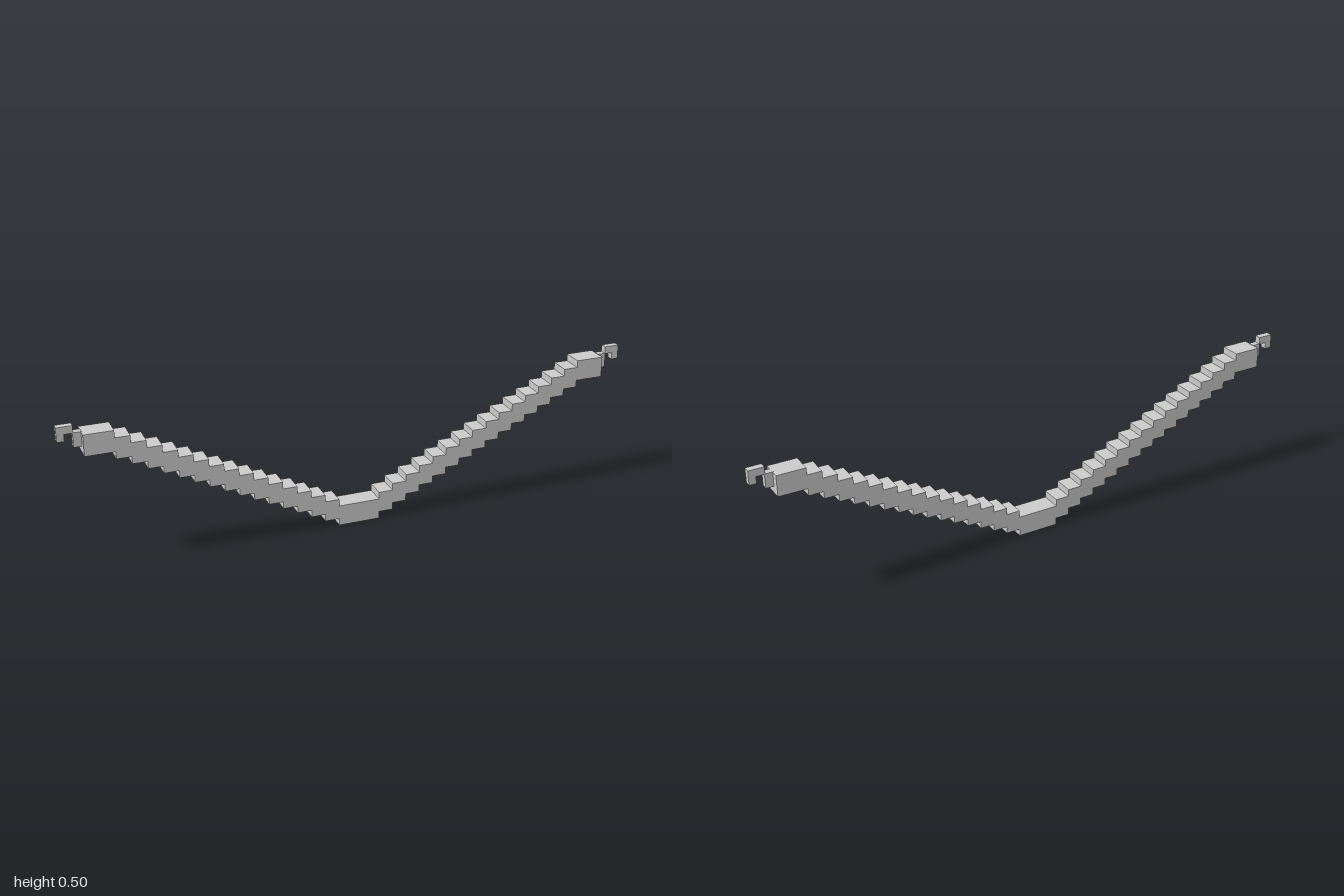
import * as THREE from 'three';

const RISE = 0.0252, RUN = 0.05, THICK = 0.0735, DEPTH = 0.0735;
const STEPS = 16, CENTRE = 0.0735, END = 0.9225;

export function createModel() {
  const group = new THREE.Group();
  const material = new THREE.MeshStandardMaterial({ color: 0xcccccc, flatShading: true });

  // Stepped V-shaped band: underside of one arm, mirrored and thickened
  const arm = [];
  for (let k = 0; k <= STEPS; k++) {
    const start = k ? CENTRE + RUN * (k - 1) : 0;
    const end = k < STEPS ? CENTRE + RUN * k : END;
    if (k) arm.push([start, RISE * k]);
    arm.push([end, RISE * k]);
  }
  const mirrored = arm.map(([x, y]) => [-x, y]).reverse();
  const under = [...mirrored, ...arm];
  const over = under.map(([x, y]) => [x, y + THICK]).reverse();
  const outline = new THREE.Shape([...under, ...over].map(([x, y]) => new THREE.Vector2(x, y)));
  const bandGeometry = new THREE.ExtrudeGeometry(outline, { depth: DEPTH, bevelEnabled: false });
  bandGeometry.translate(0, 0, -DEPTH / 2);
  const band = new THREE.Mesh(bandGeometry, material);
  band.name = 'steppedBand';
  group.add(band);

  // Small hook at each end: inner post, top bar and hanging tip
  const hookParts = [
    ['hookPost', 0.92, 0.949, 0.428, 0.4785],
    ['hookBar', 0.947, 1, 0.477, 0.503],
    ['hookTip', 0.976, 1, 0.453, 0.477],
  ];
  for (const side of [1, -1]) {
    const hook = new THREE.Group();
    hook.name = side > 0 ? 'leftHook' : 'rightHook';
    for (const [name, x0, x1, y0, y1] of hookParts) {
      const part = new THREE.Mesh(new THREE.BoxGeometry(x1 - x0, y1 - y0, 0.0235), material);
      part.position.set(side * (x0 + x1) / 2, (y0 + y1) / 2, 0);
      part.name = name;
      hook.add(part);
    }
    group.add(hook);
  }
  return group;
}
